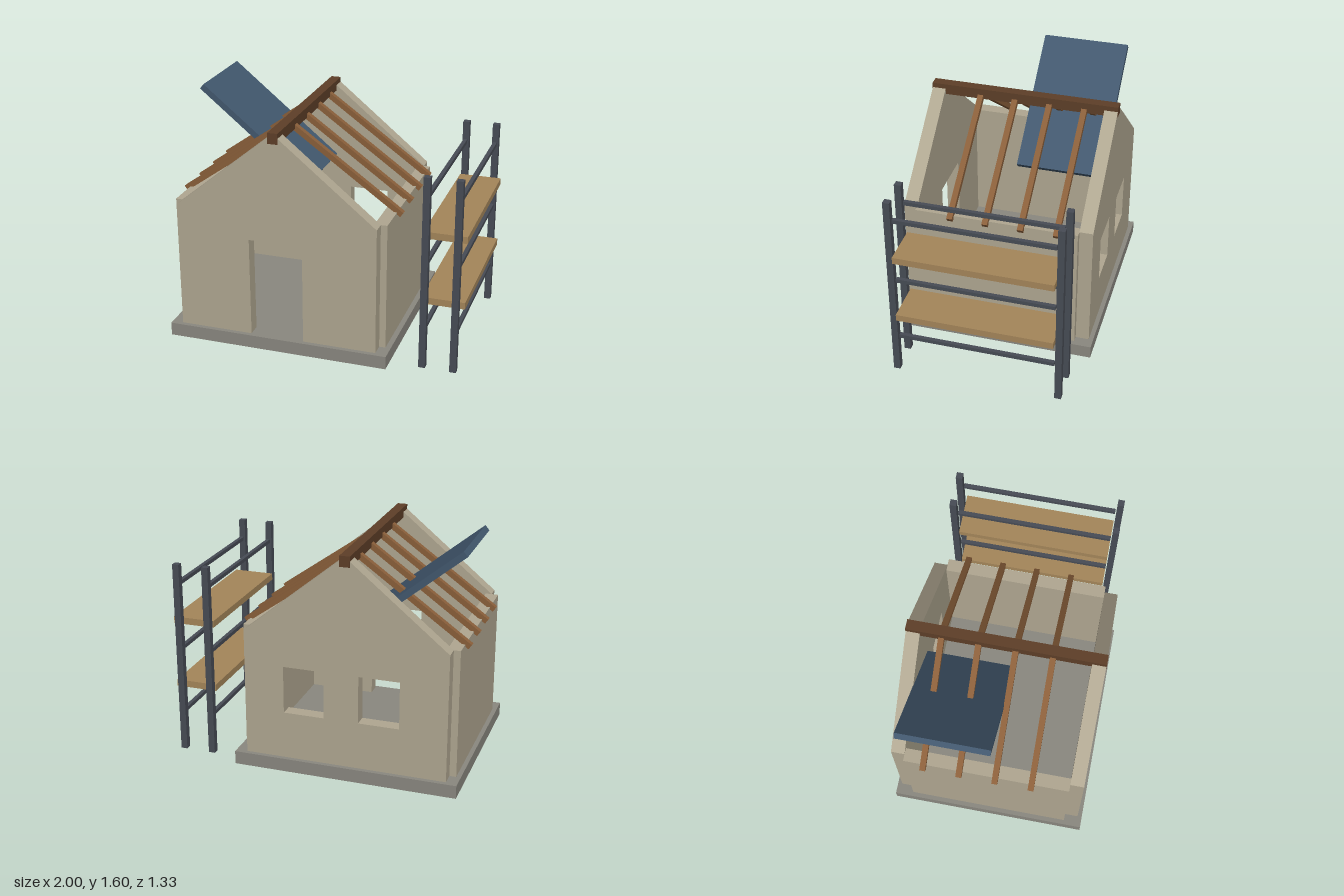
import * as THREE from 'three';

const CX = -0.235; // centre line of the house

const mat = (color) => new THREE.MeshStandardMaterial({ color });
const MATS = {
  concrete: mat(0x8a8880),
  wall: mat(0xb0a791),
  timber: mat(0x8a5f3a),
  ridge: mat(0x5e3f28),
  plank: mat(0xa5865a),
  steel: mat(0x474c55),
  panel: mat(0x42586e),
};

export function createModel() {
  const model = new THREE.Group();
  model.name = 'houseUnderConstruction';

  const house = new THREE.Group();
  house.name = 'house';
  const scaffold = new THREE.Group();
  scaffold.name = 'scaffold';
  model.add(house, scaffold);

  // Box given by its limits on each axis
  const block = (parent, name, material, [x0, x1], [y0, y1], [z0, z1]) => {
    const mesh = new THREE.Mesh(new THREE.BoxGeometry(x1 - x0, y1 - y0, z1 - z0), material);
    mesh.position.set((x0 + x1) / 2, (y0 + y1) / 2, (z0 + z1) / 2);
    mesh.name = name;
    parent.add(mesh);
    return mesh;
  };

  // Beam whose centre line runs between two points in the xy plane
  const beam = (name, material, a, b, thickness, z0, z1) => {
    const dx = b[0] - a[0], dy = b[1] - a[1];
    const mesh = new THREE.Mesh(
      new THREE.BoxGeometry(Math.hypot(dx, dy), thickness, z1 - z0), material);
    mesh.position.set((a[0] + b[0]) / 2, (a[1] + b[1]) / 2, (z0 + z1) / 2);
    mesh.rotation.z = Math.atan2(dy, dx);
    mesh.name = name;
    house.add(mesh);
  };

  // Foundation slab
  block(house, 'foundation', MATS.concrete, [-0.99, 0.525], [0, 0.09], [-0.665, 0.665]);

  // Side walls
  block(house, 'rightWall', MATS.wall, [-0.96, -0.873], [0.09, 0.96], [-0.545, 0.545]);
  block(house, 'leftWall', MATS.wall, [0.405, 0.49], [0.09, 0.96], [-0.545, 0.545]);

  // Gable walls: outline points run anticlockwise from the lower left corner
  const gable = (name, z, notch, holes) => {
    const outline = [[-0.915, 0.09], ...notch, [0.447, 0.09], [0.447, 0.96], [CX, 1.52], [-0.915, 0.96]];
    const shape = new THREE.Shape(outline.map(([x, y]) => new THREE.Vector2(x, y)));
    for (const [x0, x1, y0, y1] of holes) {
      shape.holes.push(new THREE.Path(
        [[x0, y0], [x0, y1], [x1, y1], [x1, y0]].map(([x, y]) => new THREE.Vector2(x, y))));
    }
    const geometry = new THREE.ExtrudeGeometry(shape, { depth: 0.09, bevelEnabled: false });
    const mesh = new THREE.Mesh(geometry, MATS.wall);
    mesh.position.z = z;
    mesh.name = name;
    house.add(mesh);
  };
  gable('frontGable', 0.545, [[-0.415, 0.09], [-0.415, 0.775], [-0.05, 0.775], [-0.05, 0.09]], []);
  gable('backGable', -0.635, [], [[-0.6, -0.327, 0.412, 0.735], [-0.093, 0.182, 0.412, 0.735]]);

  // Ridge beam
  block(house, 'ridgeBeam', MATS.ridge, [CX - 0.034, CX + 0.034], [1.453, 1.525], [-0.637, 0.637]);

  // Rafters, mirrored about the ridge
  for (const z of [-0.41, -0.173, 0.063, 0.3]) {
    for (const side of [-1, 1]) {
      beam('rafter', MATS.timber, [CX + side * 0.756, 0.945], [CX, 1.483], 0.037, z - 0.019, z + 0.019);
    }
  }

  // Roof panel resting across the rafters
  beam('roofPanel', MATS.panel, [-0.968, 1.584], [-0.21, 0.962], 0.042, -0.547, 0.046);

  // Scaffold posts and rails
  for (const x of [0.741, 0.947]) {
    for (const z of [-0.549, 0.549]) {
      block(scaffold, 'post', MATS.steel, [x - 0.022, x + 0.022], [0, 1.325], [z - 0.022, z + 0.022]);
    }
    for (const y of [0.277, 0.732, 1.188]) {
      block(scaffold, 'rail', MATS.steel, [x - 0.013, x + 0.013], [y - 0.013, y + 0.013], [-0.52, 0.52]);
    }
  }

  // Scaffold decks
  for (const y of [0.463, 0.919]) {
    block(scaffold, 'deck', MATS.plank, [0.715, 1], [y - 0.023, y + 0.023], [-0.52, 0.52]);
  }

  return model;
}
